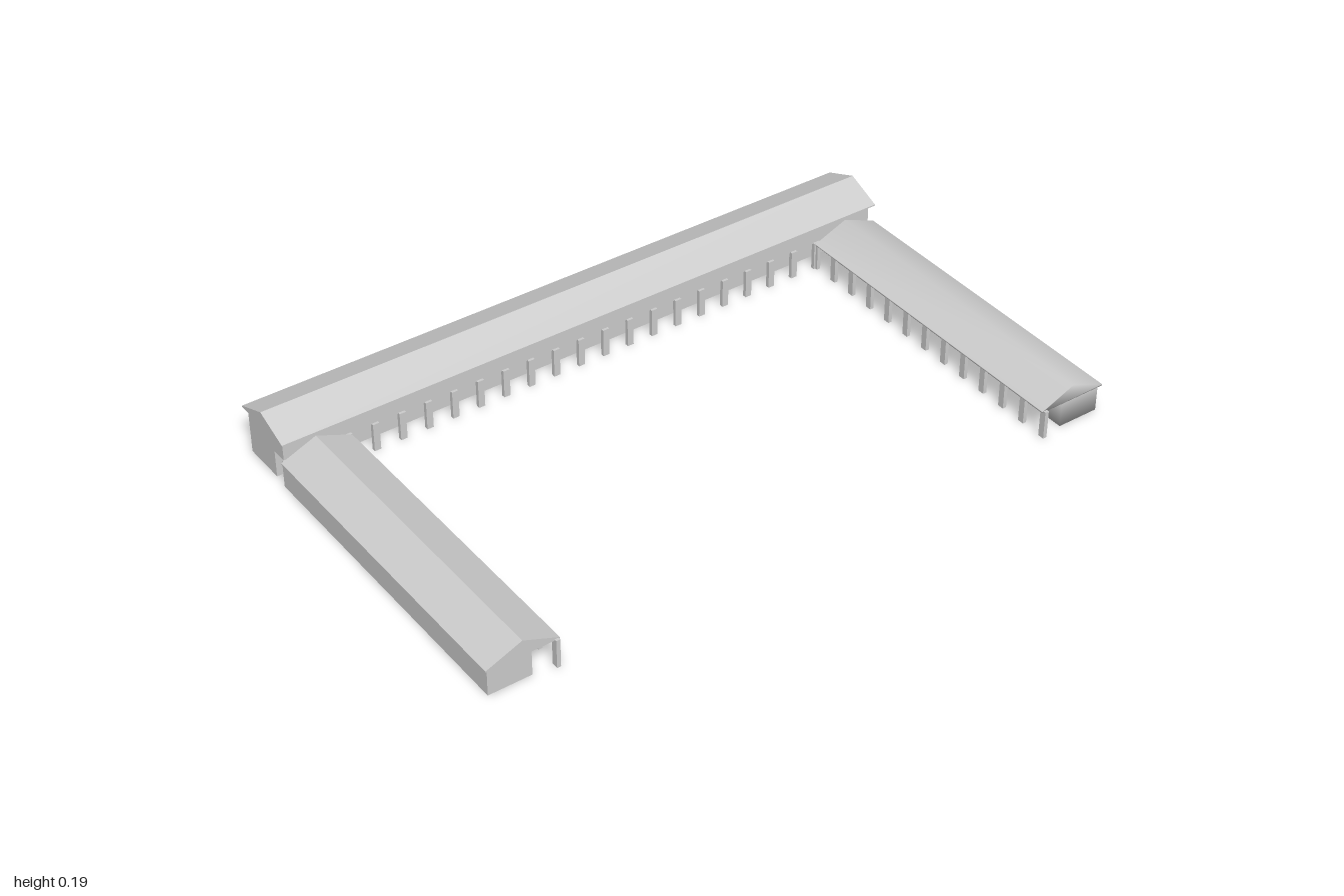
import * as THREE from 'three';
import { mergeVertices } from 'three/addons/utils/BufferGeometryUtils.js';

const flat = new THREE.MeshStandardMaterial({ color: 0xcccccc, flatShading: true });
const smooth = new THREE.MeshStandardMaterial({ color: 0xcccccc });

// Straight prism of a cross-section, from start to start + length along z
function prism(points, start, length) {
  const shape = new THREE.Shape(points.map(([x, y]) => new THREE.Vector2(x, y)));
  return new THREE.ExtrudeGeometry(shape, { depth: length, bevelEnabled: false }).translate(0, 0, start);
}

// Shares corner vertices so that the shading runs across the edges
function soften(geometry) {
  geometry.deleteAttribute('uv');
  geometry.deleteAttribute('normal');
  const welded = mergeVertices(geometry, 1e-4);
  welded.computeVertexNormals();
  return welded;
}

function add(parent, name, geometry, material = flat) {
  const mesh = new THREE.Mesh(geometry, material);
  mesh.name = name;
  parent.add(mesh);
  return mesh;
}

// Gable roof section with a thin eave
function gable(centre, half, eave, ridge) {
  return [
    [centre - half, eave - 0.004], [centre + half, eave - 0.004],
    [centre + half, eave], [centre, ridge], [centre - half, eave],
  ];
}

function createHall() {
  const hall = new THREE.Group();
  hall.name = 'mainHall';
  // Section runs along -z; the upper storey overhangs the walkway
  const walls = [[0.41, 0.085], [0.46, 0.085], [0.46, 0], [0.595, 0], [0.595, 0.149], [0.41, 0.149]];
  add(hall, 'hallWalls', prism(walls, -0.985, 1.97).rotateY(Math.PI / 2));
  add(hall, 'hallRoof', prism(gable(0.5, 0.108, 0.15, 0.194), -0.995, 1.99).rotateY(Math.PI / 2));
  // Colonnade under the overhang
  const count = 20;
  for (let i = 0; i < count; i++) {
    const post = add(hall, 'hallPost', new THREE.BoxGeometry(0.02, 0.088, 0.012));
    post.position.set(-0.79 + (1.58 * i) / (count - 1), 0.044, -0.408);
  }
  return hall;
}

function createWing(side) {
  const wing = new THREE.Group();
  wing.name = side > 0 ? 'leftWing' : 'rightWing';
  const soft = side > 0;
  const material = soft ? smooth : flat;
  const finish = (g) => (soft ? soften(g) : g);

  // Walls stand at the outer side, leaving a walkway under the roof
  const a = side * 0.86, b = side * 0.99;
  const walls = [[a, 0], [b, 0], [b, 0.086], [a, 0.086]];
  add(wing, 'wingWalls', finish(prism(walls, -0.41, 1.0)), material);
  add(wing, 'wingRoof', finish(prism(gable(side * 0.89, 0.108, 0.088, 0.132), -0.4, 0.998)), material);

  // Colonnade along the courtyard
  const count = 13;
  for (let i = 0; i < count; i++) {
    const post = add(wing, 'wingPost', new THREE.BoxGeometry(0.012, 0.088, 0.02));
    post.position.set(side * 0.792, 0.044, 0.596 - (i * 1.0) / (count - 1));
  }
  return wing;
}

export function createModel() {
  const model = new THREE.Group();
  model.name = 'courtyardBuilding';
  model.add(createHall(), createWing(-1), createWing(1));
  return model;
}
